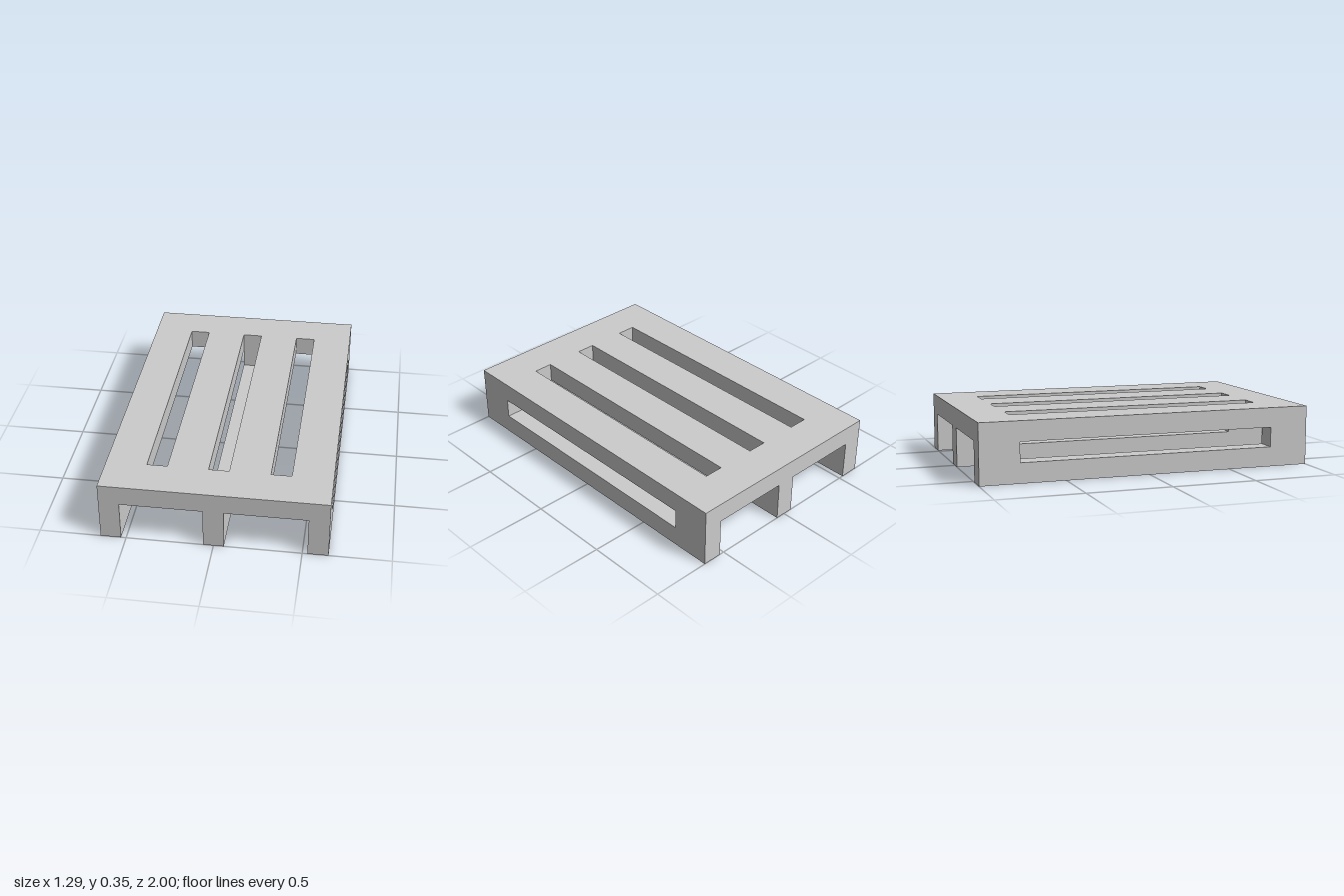
import * as THREE from 'three';

const WIDTH = 1.294, LENGTH = 2, HEIGHT = 0.353;
const BOARD = 0.1177;        // thickness of deck and runners, width of slots
const SLOT = 0.766;          // half length of every slot
const DECK_Y = HEIGHT - BOARD;

const polygon = (pts, Type = THREE.Shape) => new Type(pts.map(([x, y]) => new THREE.Vector2(x, y)));
const rect = (x0, y0, x1, y1) => [[x0, y0], [x1, y0], [x1, y1], [x0, y1]];
const extrude = (shape) => new THREE.ExtrudeGeometry(shape, { depth: BOARD, bevelEnabled: false });

export function createModel() {
  const group = new THREE.Group();
  group.name = 'pallet';
  const material = new THREE.MeshStandardMaterial({ color: 0xcccccc });
  const add = (name, geometry, x, y) => {
    const mesh = new THREE.Mesh(geometry, material);
    mesh.name = name;
    mesh.position.set(x, y, 0);
    group.add(mesh);
  };

  // Deck with three long slots, laid flat
  const deck = polygon(rect(-WIDTH / 2, -LENGTH / 2, WIDTH / 2, LENGTH / 2));
  for (const x of [-3 * BOARD, 0, 3 * BOARD]) {
    deck.holes.push(polygon(rect(x - BOARD / 2, -SLOT, x + BOARD / 2, SLOT), THREE.Path));
  }
  add('deck', extrude(deck).rotateX(-Math.PI / 2), 0, DECK_Y);

  // Runners: the long notch in the top edge leaves an opening below the deck
  const end = LENGTH / 2;
  const runner = extrude(polygon([
    [-end, 0], [end, 0], [end, DECK_Y], [SLOT, DECK_Y],
    [SLOT, BOARD], [-SLOT, BOARD], [-SLOT, DECK_Y], [-end, DECK_Y],
  ])).rotateY(Math.PI / 2).translate(-BOARD / 2, 0, 0);
  const side = (WIDTH - BOARD) / 2;
  add('rightRunner', runner, -side, 0);
  add('middleRunner', runner, 0, 0);
  add('leftRunner', runner, side, 0);

  return group;
}
